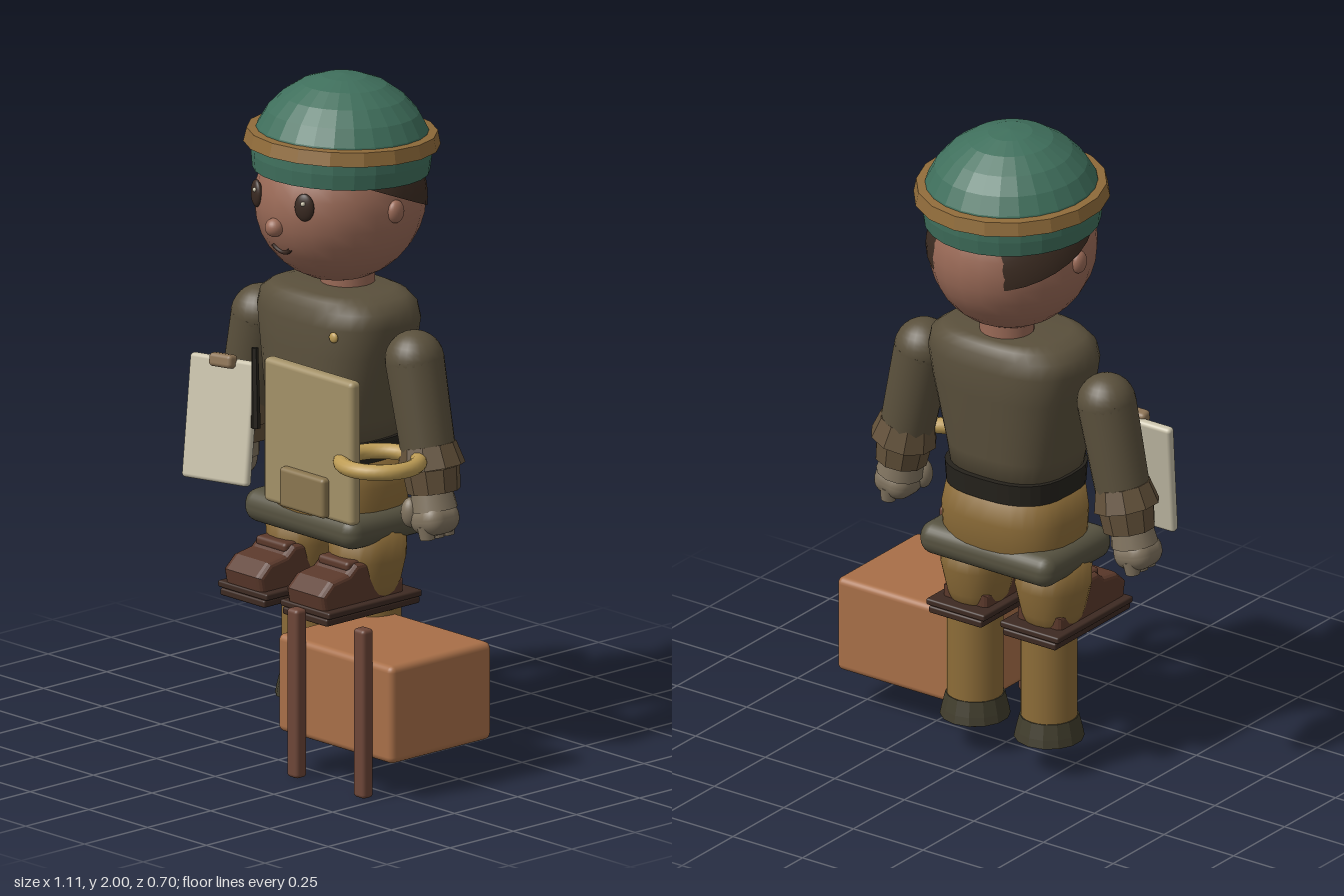
import * as THREE from 'three';
import { RoundedBoxGeometry } from 'three/addons/geometries/RoundedBoxGeometry.js';

const CX = -0.065; // figure's own centre line
const V = (x, y, z) => new THREE.Vector3(x, y, z);
const mat = (color, flatShading = false) =>
  new THREE.MeshStandardMaterial({ color, flatShading, side: THREE.DoubleSide });
const M = {
  skin: mat(0x9a6a57), dark: mat(0x3a2a22), hair: mat(0x3c2c22), green: mat(0x3f6f5c, true),
  brass: mat(0x8f6b3a, true), shirt: mat(0x5a503c), cuff: mat(0x63513a, true), glove: mat(0x80735f),
  pants: mat(0x8c6c38), belt: mat(0x25221c, true), pouch: mat(0x565240), boot: mat(0x5b392b),
  sole: mat(0x3d2a22), trim: mat(0x403c2c, true), crate: mat(0xa86f48), post: mat(0x6d4638),
  board: mat(0xa39168), pocket: mat(0x8a7650), ring: mat(0xbd9c55), paper: mat(0xc9c2ab), clip: mat(0x8c7355),
};

function add(parent, name, geometry, material, x = 0, y = 0, z = 0) {
  const m = new THREE.Mesh(geometry, material);
  m.name = name;
  m.position.set(x, y, z);
  parent.add(m);
  return m;
}
const box = (w, h, d, r = 0.012) => new RoundedBoxGeometry(w, h, d, 3, r);
const ball = (r, sx = 1, sy = 1, sz = 1) => new THREE.SphereGeometry(r, 24, 16).scale(sx, sy, sz);
const lathe = (pts, n) => new THREE.LatheGeometry(pts.map(p => new THREE.Vector2(...p)), n);

// Tapered cylinder between two points
function limb(parent, name, a, b, ra, rb, material, sides = 20) {
  const m = add(parent, name, new THREE.CylinderGeometry(rb, ra, a.distanceTo(b), sides), material);
  m.position.copy(a).lerp(b, 0.5);
  m.quaternion.setFromUnitVectors(V(0, 1, 0), b.clone().sub(a).normalize());
  return m;
}

// Rounded-square sections stacked upward: [y, half width, half depth, z centre]
function loft(rows, power = 0.75, n = 32) {
  const pos = [], idx = [];
  const se = t => Math.sign(t) * Math.abs(t) ** power;
  const closed = [[rows[0][0], 0, 0, rows[0][3]], ...rows,
    [rows.at(-1)[0], 0, 0, rows.at(-1)[3]]];
  for (const [y, rx, rz, zc] of closed)
    for (let i = 0; i < n; i++) {
      const a = i / n * Math.PI * 2;
      pos.push(se(Math.cos(a)) * rx, y, zc + se(Math.sin(a)) * rz);
    }
  for (let j = 0; j < closed.length - 1; j++)
    for (let i = 0; i < n; i++) {
      const a = j * n + i, b = j * n + (i + 1) % n;
      idx.push(a, a + n, b, b, a + n, b + n);
    }
  const g = new THREE.BufferGeometry();
  g.setAttribute('position', new THREE.Float32BufferAttribute(pos, 3));
  g.setIndex(idx);
  g.computeVertexNormals();
  return g;
}

function buildHead(fig) {
  const head = new THREE.Group();
  head.name = 'head';
  head.position.set(0, 1.63, -0.055);
  fig.add(head);
  add(head, 'face', ball(0.245, 0.97, 1, 1.07), M.skin);
  add(head, 'neck', new THREE.CylinderGeometry(0.08, 0.08, 0.16, 20), M.skin, 0, -0.2, -0.03);
  const hair = add(head, 'hair', new THREE.SphereGeometry(0.254, 32, 16, 0, Math.PI * 2, 0, 1.39), M.hair);
  hair.rotation.x = -0.386;
  for (const s of [-1, 1]) {
    add(head, 'ear', ball(0.033, 0.6, 1.05, 0.85), M.skin, s * 0.237, 0.005, 0);
    const eye = add(head, 'eye', ball(0.036, 0.85, 1.15, 0.4), M.dark, s * 0.102, 0.035, 0.236);
    eye.rotation.y = s * 0.4;
    add(head, 'eyeGlint', ball(0.007), M.paper, s * 0.102 + 0.008, 0.05, 0.25);
  }
  add(head, 'nose', ball(0.028), M.skin, 0, -0.042, 0.26);
  const mouth = add(head, 'mouth', new THREE.TorusGeometry(0.045, 0.007, 8, 16, 1.9), M.dark, 0, -0.08, 0.238);
  mouth.rotation.set(0.3, 0, -Math.PI / 2 - 0.95);

  // Cap dome with a wide band, tipped slightly back
  const cap = new THREE.Group();
  cap.name = 'cap';
  cap.position.set(0, 1.8, -0.062);
  cap.rotation.x = -0.04;
  fig.add(cap);
  add(cap, 'capDome', lathe([[0.258, -0.085], [0.263, -0.04], [0.262, 0], [0.25, 0.04], [0.222, 0.09],
    [0.18, 0.135], [0.125, 0.172], [0.065, 0.193], [0, 0.2]], 26), M.green);
  add(cap, 'capBand', lathe([[0.25, -0.01], [0.287, -0.008], [0.278, 0.033], [0.245, 0.036]], 18), M.brass);
}

function buildBody(fig) {
  add(fig, 'shirt', loft([[0.9, 0.18, 0.165, -0.035], [1.0, 0.2, 0.17, -0.035], [1.2, 0.24, 0.18, -0.048],
    [1.29, 0.258, 0.18, -0.05], [1.335, 0.25, 0.17, -0.05], [1.36, 0.215, 0.155, -0.05], [1.372, 0.17, 0.13, -0.05]]), M.shirt);
  add(fig, 'shirtButton', ball(0.016, 1, 1, 0.6), M.ring, 0.155, 1.27, 0.115);
  limb(fig, 'strap', V(-0.175, 1.17, 0.12), V(-0.165, 0.93, 0.125), 0.01, 0.014, M.belt, 6);
  add(fig, 'belt', loft([[0.875, 0.195, 0.175, -0.04], [0.94, 0.198, 0.18, -0.04]]), M.belt);
  add(fig, 'hips', loft([[0.64, 0.2, 0.14, -0.04], [0.72, 0.21, 0.165, -0.045], [0.8, 0.212, 0.172, -0.045],
    [0.9, 0.19, 0.168, -0.04]]), M.pants);
  add(fig, 'hipRoll', box(0.48, 0.1, 0.335, 0.045), M.pouch, 0, 0.683, -0.045);
}

function buildArm(fig, s) {
  const arm = new THREE.Group();
  arm.name = s > 0 ? 'leftArm' : 'rightArm';
  fig.add(arm);
  const p = (x, y, z = -0.045) => V(s * x, y, z);
  add(arm, 'shoulder', ball(0.087), M.shirt, s * 0.328, 1.21, -0.045);
  limb(arm, 'sleeve', p(0.328, 1.21), p(0.39, 0.93), 0.087, 0.08, M.shirt);
  limb(arm, 'cuff', p(0.385, 0.965), p(0.4, 0.9), 0.083, 0.1, M.cuff, 10);
  limb(arm, 'wristBand', p(0.398, 0.9), p(0.41, 0.83), 0.085, 0.078, M.cuff, 10);
  limb(arm, 'gloveCuff', p(0.408, 0.85, -0.035), p(0.422, 0.78, -0.035), 0.06, 0.07, M.glove, 12);
  const palm = add(arm, 'palm', box(0.125, 0.095, 0.13, 0.045), M.glove, s * 0.43, 0.755, -0.03);
  palm.rotation.z = s * 0.2;
  for (let i = 0; i < 3; i++)
    limb(arm, 'finger', p(0.435, 0.74, -0.068 + i * 0.038), p(0.44, 0.7, -0.068 + i * 0.038), 0.028, 0.022, M.glove, 10);
  add(arm, 'thumb', ball(0.032, 0.9, 1.4, 0.9), M.glove, s * 0.375, 0.77, 0.015);
}

function buildLeg(fig, s) {
  const leg = new THREE.Group();
  leg.name = s > 0 ? 'leftLeg' : 'rightLeg';
  leg.position.x = s * 0.133;
  fig.add(leg);
  add(leg, 'upperLeg', loft([[0.44, 0.07, 0.075, -0.04], [0.5, 0.09, 0.095, -0.04], [0.58, 0.106, 0.113, -0.04],
    [0.67, 0.106, 0.118, -0.04]], 0.9, 20), M.pants);
  // Boot from a side outline, extruded across its width
  const side = new THREE.Shape([[-0.1, 0.47], [0.19, 0.47], [0.198, 0.51], [0.165, 0.54], [0.1, 0.55],
    [0.07, 0.575], [0, 0.575], [-0.04, 0.52], [-0.1, 0.5]].map(q => new THREE.Vector2(...q)));
  const boot = new THREE.ExtrudeGeometry(side, { depth: 0.12, bevelSize: 0.014, bevelThickness: 0.02, bevelSegments: 3 });
  add(leg, 'boot', boot.translate(0, 0, -0.06).rotateY(-Math.PI / 2), M.boot);
  add(leg, 'bootTongue', box(0.13, 0.03, 0.08), M.boot, 0, 0.58, 0.06);
  add(leg, 'upperSole', box(0.21, 0.02, 0.37, 0.006), M.sole, 0, 0.462, 0.025);
  add(leg, 'lowerSole', box(0.19, 0.022, 0.37, 0.006), M.sole, 0, 0.44, 0.025);
  add(leg, 'lowerLeg', new THREE.CylinderGeometry(0.083, 0.083, 0.33, 24), M.pants, 0, 0.275, -0.06);
  add(leg, 'ankleTrim', lathe([[0.065, 0.1], [0.103, 0.1], [0.098, 0.125], [0.087, 0.17], [0.08, 0.17]], 14), M.trim, 0, 0, -0.06);
  add(leg, 'footBall', ball(0.075, 1, 0.6, 1), M.pants, 0, 0.11, -0.06);
}

function buildProps(root) {
  // Crate with two posts
  add(root, 'crate', box(0.49, 0.295, 0.4, 0.02), M.crate, 0.305, 0.263, 0.113);
  for (const x of [0.163, 0.447]) add(root, 'cratePost', box(0.048, 0.51, 0.043), M.post, x, 0.257, 0.329);

  // Chest board with a pocket, and a ring
  add(root, 'board', box(0.38, 0.435, 0.042, 0.016), M.board, 0.077, 0.97, 0.187);
  add(root, 'boardPocket', box(0.19, 0.12, 0.04), M.pocket, 0.075, 0.82, 0.212);
  const ring = add(root, 'ring', new THREE.TorusGeometry(0.113, 0.024, 12, 36), M.ring, 0.291, 0.939, 0.118);
  ring.rotation.x = Math.PI / 2;

  // Clipboard held beside the right hand
  const clipboard = new THREE.Group();
  clipboard.name = 'clipboard';
  clipboard.position.set(-0.375, 0.926, 0.13);
  clipboard.rotation.set(-0.18, 0.1, 0.08);
  root.add(clipboard);
  add(clipboard, 'sheet', box(0.25, 0.365, 0.03), M.paper);
  add(clipboard, 'clip', box(0.085, 0.04, 0.04), M.clip, 0.012, 0.175, 0.022);
}

export function createModel() {
  const root = new THREE.Group();
  root.name = 'figureWithCrate';
  const fig = new THREE.Group();
  fig.name = 'figure';
  fig.position.x = CX;
  root.add(fig);
  buildHead(fig);
  buildBody(fig);
  for (const s of [-1, 1]) {
    buildArm(fig, s);
    buildLeg(fig, s);
  }
  buildProps(root);
  return root;
}
